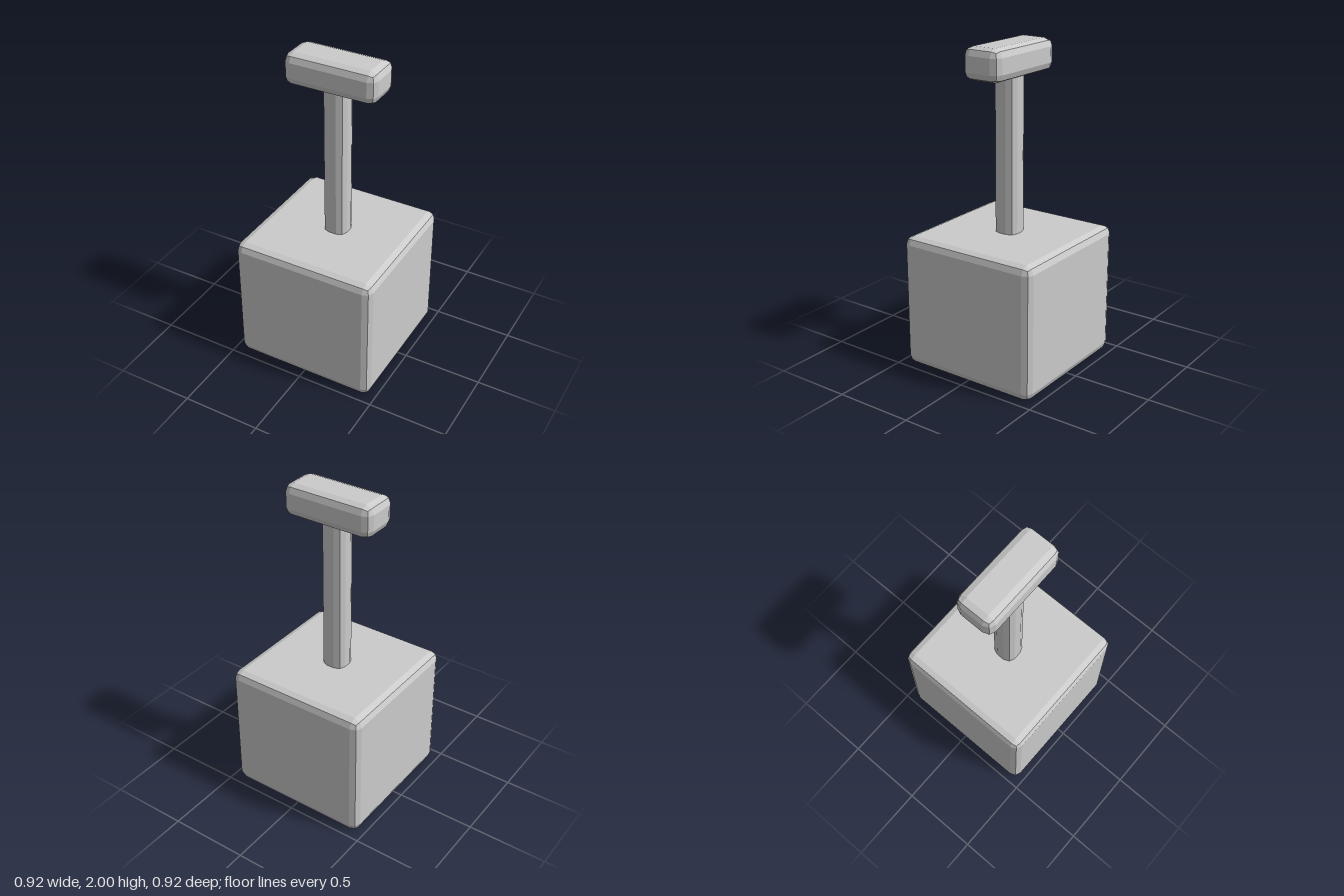
import * as THREE from 'three';
import { RoundedBoxGeometry } from 'three/addons/geometries/RoundedBoxGeometry.js';

const BEVEL = 0.05;

export function createModel() {
  const group = new THREE.Group();
  const grey = new THREE.MeshStandardMaterial({ color: 0xcccccc, flatShading: true });

  // Bevelled block with two facets per edge, spanning bottom to top
  function addBlock(name, width, depth, bottom, top) {
    const geometry = new RoundedBoxGeometry(width, top - bottom, depth, 1, BEVEL);
    const mesh = new THREE.Mesh(geometry, grey);
    mesh.name = name;
    mesh.position.y = (bottom + top) / 2;
    group.add(mesh);
  }

  // Heavy head on the ground
  addBlock('head', 0.922, 0.922, 0, 0.842);
  // Shaft, its ends sunk into the head and the grip
  addBlock('shaft', 0.15, 0.15, 0.77, 1.88);
  // Crosswise grip
  addBlock('grip', 0.586, 0.25, 1.804, 2);

  return group;
}
